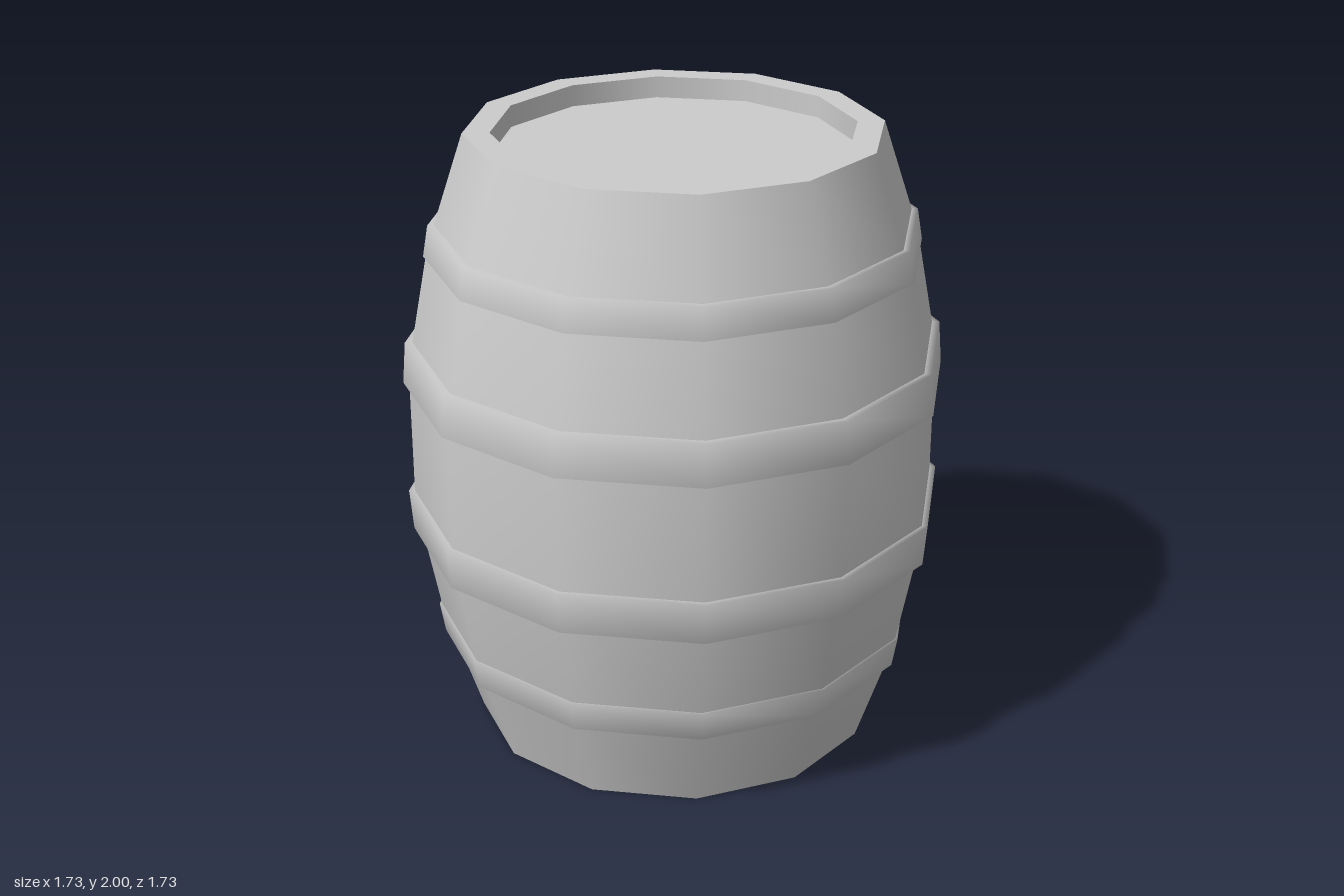
import * as THREE from 'three';

const SIDES = 12;
const material = new THREE.MeshStandardMaterial({ color: 0xcccccc });

// Revolve a profile of [radius, height] pairs, listed up the outside and down the inside
function turned(name, profile) {
  const points = profile.map(([r, y]) => new THREE.Vector2(r, y));
  const mesh = new THREE.Mesh(new THREE.LatheGeometry(points, SIDES), material);
  mesh.name = name;
  return mesh;
}

// Same profile flipped about mid-height, keeping its winding
const flipped = (profile) => profile.map(([r, y]) => [r, 2 - y]).reverse();

export function createModel() {
  const barrel = new THREE.Group();
  barrel.name = 'barrel';

  // Bulging stave wall
  const upperWall = [[0.845, 1.2], [0.83, 1.32], [0.775, 1.61], [0.746, 1.71], [0.65, 2]];
  barrel.add(turned('staves', [...flipped(upperWall), ...upperWall]));

  // Recessed ends: each profile segment is its own lathe so the edges stay sharp
  const end = [[0.65, 2], [0.565, 2], [0.565, 1.93], [0, 1.93]];
  const endParts = ['Rim', 'RecessWall', 'Head'];
  endParts.forEach((part, i) => {
    const segment = [end[i], end[i + 1]];
    barrel.add(turned('top' + part, segment), turned('bottom' + part, flipped(segment)));
  });

  // Hoops, with their inner edges tucked into the wall
  const hoops = {
    Outer: [[0.765, 1.61], [0.783, 1.61], [0.766, 1.71], [0.74, 1.71]],
    Inner: [[0.835, 1.19], [0.864, 1.19], [0.853, 1.325], [0.82, 1.325]],
  };
  for (const [place, profile] of Object.entries(hoops)) {
    barrel.add(turned('upper' + place + 'Hoop', profile));
    barrel.add(turned('lower' + place + 'Hoop', flipped(profile)));
  }

  return barrel;
}
